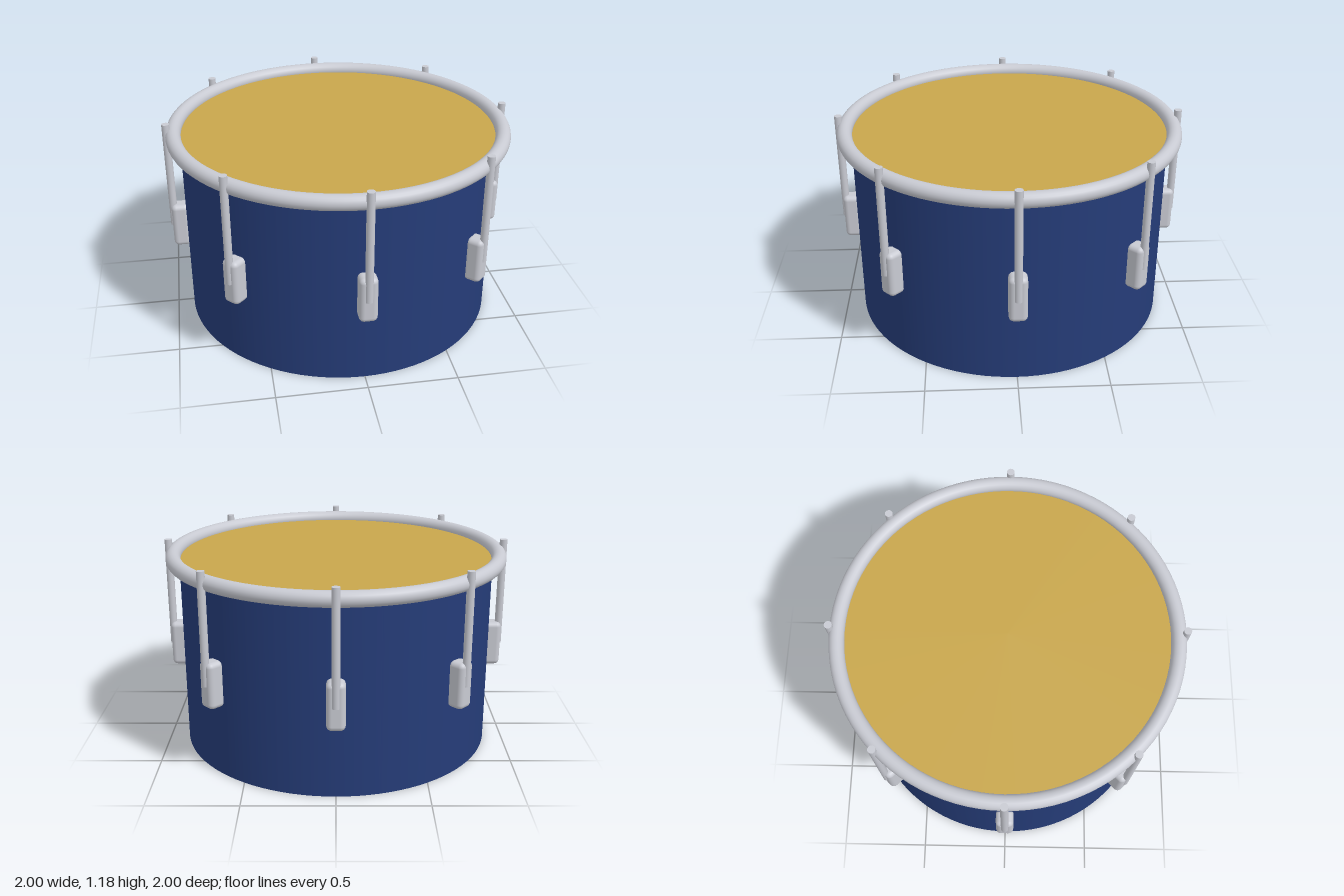
import * as THREE from 'three';
import { RoundedBoxGeometry } from 'three/addons/geometries/RoundedBoxGeometry.js';

const mat = (name, color) => {
  const m = new THREE.MeshStandardMaterial({ color });
  m.name = name;
  return m;
};

export function createModel() {
  const drum = new THREE.Group();
  drum.name = 'drum';
  const blue = mat('blue shell', 0x253c78);
  const gold = mat('gold skin', 0xc8a64c);
  const metal = mat('pale metal', 0xc8cad2);

  const add = (parent, name, geometry, material, x = 0, y = 0, z = 0) => {
    const mesh = new THREE.Mesh(geometry, material);
    mesh.name = name;
    mesh.position.set(x, y, z);
    parent.add(mesh);
    return mesh;
  };

  // Hollow shell, open below: one lathe band per side keeps the rims sharp
  const outer = 0.905, inner = 0.865, top = 1.09;
  const corners = [[outer, 0], [outer, top], [inner, top], [inner, 0]]
    .map(([r, y]) => new THREE.Vector2(r, y));
  const shell = new THREE.Group();
  shell.name = 'shell';
  drum.add(shell);
  ['outerWall', 'topRim', 'innerWall', 'bottomRim'].forEach((name, i) => {
    add(shell, name, new THREE.LatheGeometry([corners[i], corners[(i + 1) % 4]], 96), blue);
  });

  // Drum skin and the hoop that holds it
  add(drum, 'skin', new THREE.CylinderGeometry(0.902, 0.902, 0.012, 96), gold, 0, 1.094, 0);
  const hoop = add(drum, 'hoop', new THREE.TorusGeometry(0.94, 0.043, 20, 96), metal, 0, 1.108, 0);
  hoop.rotation.x = Math.PI / 2;

  // Eight lugs, each with a tension rod
  const lugGeometry = new RoundedBoxGeometry(0.1, 0.265, 0.1, 4, 0.028);
  const rodGeometry = new THREE.CylinderGeometry(0.022, 0.022, 0.635, 20);
  for (let i = 0; i < 8; i++) {
    const tensioner = new THREE.Group();
    tensioner.name = 'tensioner';
    tensioner.rotation.y = (i * Math.PI) / 4;
    add(tensioner, 'lug', lugGeometry, metal, 0, 0.547, 0.938);
    add(tensioner, 'tensionRod', rodGeometry, metal, 0, 0.8625, 0.977);
    drum.add(tensioner);
  }
  return drum;
}
